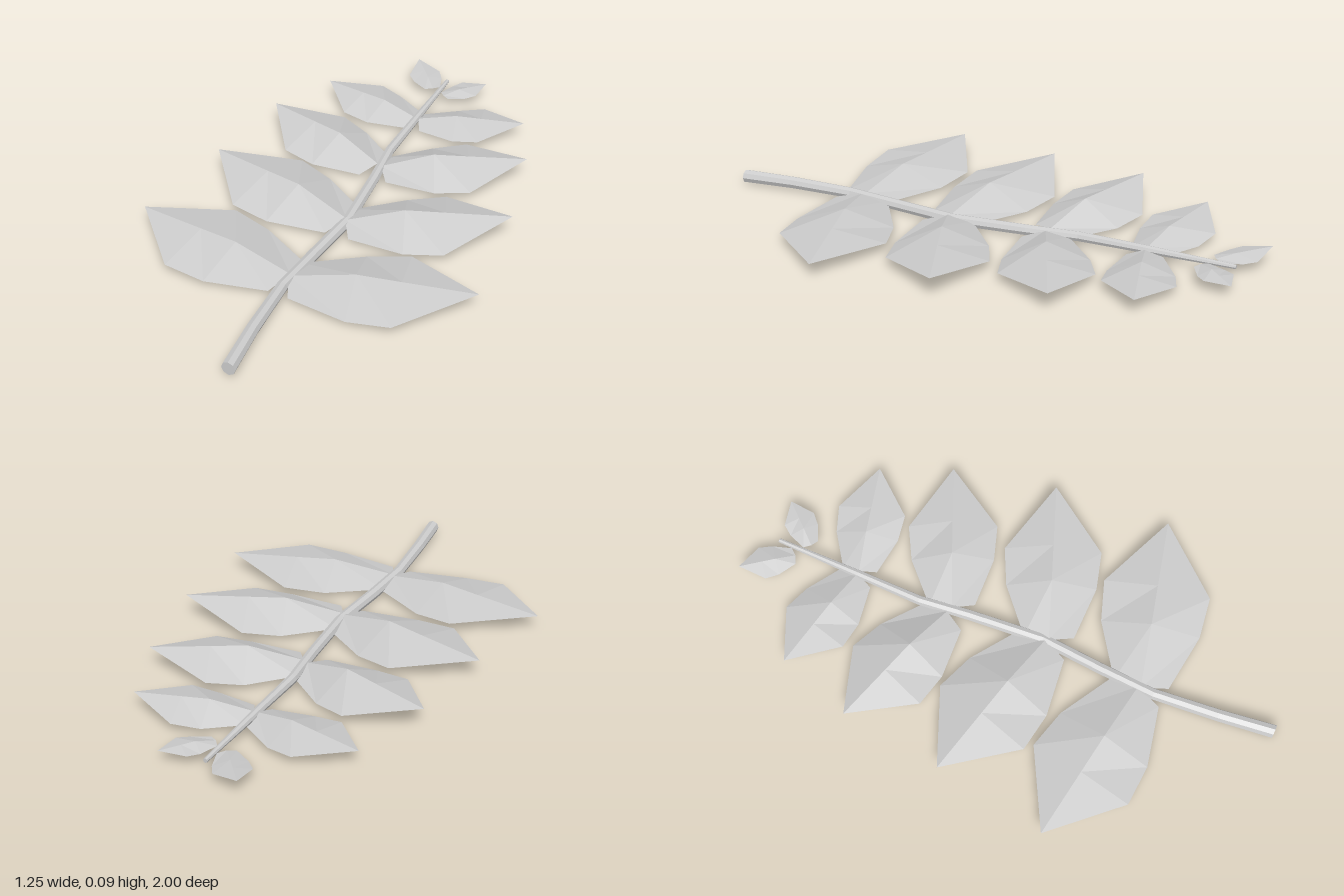
import * as THREE from 'three';

const material = new THREE.MeshStandardMaterial({ color: 0xcccccc, flatShading: true, side: THREE.DoubleSide });

// Stem rings from the cut end to the growing tip: x, y, z, radius
const STEM = [
  [0.045, 0.03, 1, 0.025], [0.02, 0.03, 0.8, 0.023], [0, 0.026, 0.56, 0.021],
  [0.012, 0.022, 0.35, 0.021], [0.03, 0.021, 0.12, 0.021], [0.004, 0.026, -0.16, 0.02],
  [-0.02, 0.03, -0.35, 0.018], [-0.02, 0.034, -0.6, 0.015], [-0.02, 0.037, -0.92, 0.008],
];

// Leaves: base x, base z, tip x, tip z, height of ridge, height of tip
const LEAVES = [
  [0, 0.5, -0.63, 0.4, 0.075, 0.06], [0, 0.51, 0.62, 0.36, 0.077, 0.06],
  [0.03, 0.13, -0.57, -0.02, 0.088, 0.075], [0.03, 0.14, 0.575, -0.07, 0.09, 0.083],
  [-0.02, -0.24, -0.53, -0.4, 0.09, 0.08], [0, -0.23, 0.49, -0.45, 0.09, 0.075],
  [-0.02, -0.6, -0.435, -0.685, 0.065, 0.058], [-0.01, -0.6, 0.385, -0.705, 0.065, 0.06],
  [-0.05, -0.84, -0.18, -1, 0.05, 0.06], [0.01, -0.805, 0.135, -0.95, 0.05, 0.045],
];

// A tapered, gently bent stem: cylinder rings moved onto the path
function makeStem() {
  const geometry = new THREE.CylinderGeometry(1, 1, STEM.length - 1, 8, STEM.length - 1);
  const p = geometry.attributes.position;
  for (let i = 0; i < p.count; i++) {
    const [x, y, z, r] = STEM[Math.round(p.getY(i) + (STEM.length - 1) / 2)];
    p.setXYZ(i, x + p.getX(i) * r, y + p.getZ(i) * r, z);
  }
  geometry.computeVertexNormals();
  const mesh = new THREE.Mesh(geometry, material);
  mesh.name = 'stem';
  return mesh;
}

// A folded leaf: a raised midrib with two drooping halves
function makeLeaf([bx, bz, tx, tz, ridge, tip]) {
  const dx = tx - bx, dz = tz - bz;
  // Cross-sections: position along, half width (both relative to length), ridge and edge heights
  const small = Math.hypot(dx, dz) < 0.3;
  const sections = [
    [0.03, 0.155, 0.037, small ? 0.035 : 0.02],
    [0.36, 0.282, ridge, small ? 0.035 : 0.02],
    [0.6, 0.305, ridge * 0.6 + tip * 0.4, small ? 0.04 : 0.033],
    [1, 0, tip, tip],
  ];
  const positions = [], indices = [];
  for (const [u, w, yRidge, yEdge] of sections) {
    for (const side of [-1, 0, 1]) {
      const along = side ? u : u === 0.03 ? 0 : u;
      positions.push(bx + dx * along - dz * w * side, side ? yEdge : yRidge, bz + dz * along + dx * w * side);
    }
  }
  for (let s = 0; s < sections.length - 1; s++) {
    for (let k = 0; k < 2; k++) {
      const a = s * 3 + k, b = a + 1, c = a + 3, d = a + 4;
      if (s < sections.length - 2) indices.push(a, b, d, a, d, c);
      else indices.push(a, b, d); // the halves close to a point
    }
  }
  const geometry = new THREE.BufferGeometry();
  geometry.setAttribute('position', new THREE.Float32BufferAttribute(positions, 3));
  // Turn the front faces upward
  for (let i = 0; i < indices.length; i += 3) [indices[i + 1], indices[i + 2]] = [indices[i + 2], indices[i + 1]];
  geometry.setIndex(indices);
  geometry.computeVertexNormals();
  const mesh = new THREE.Mesh(geometry, material);
  mesh.name = tx > 0 ? 'leftLeaf' : 'rightLeaf';
  return mesh;
}

export function createModel() {
  const group = new THREE.Group();
  group.name = 'leafyBranch';
  group.add(makeStem(), ...LEAVES.map(makeLeaf));
  return group;
}
